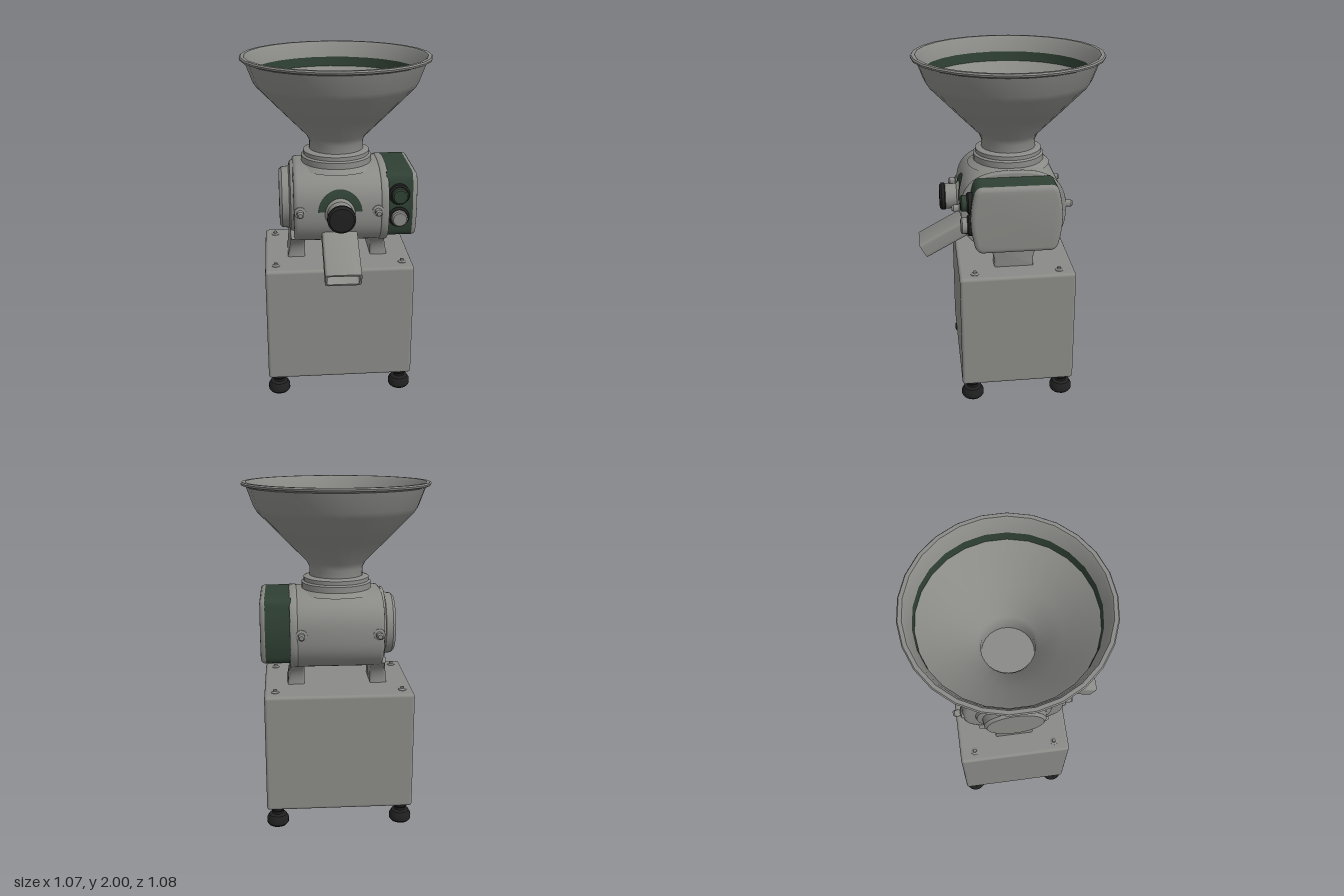
import * as THREE from 'three';
import { toCreasedNormals } from 'three/addons/utils/BufferGeometryUtils.js';
import { RoundedBoxGeometry } from 'three/addons/geometries/RoundedBoxGeometry.js';

const material = (name, color) => {
  const m = new THREE.MeshStandardMaterial({ color });
  m.name = name;
  return m;
};

// Body cross-section: a squarish ellipse in the z/y plane
const BODY = { y: 1.16, rz: 0.295, ry: 0.232, power: 2.6 };
const bodyZ = (y) =>
  BODY.rz * Math.pow(Math.max(0, 1 - Math.pow(Math.abs(y - BODY.y) / BODY.ry, BODY.power)), 1 / BODY.power);

function superEllipse(rz, ry, power, y, steps = 56) {
  const points = [];
  for (let i = 0; i < steps; i++) {
    const a = (i / steps) * Math.PI * 2, c = Math.cos(a), s = Math.sin(a);
    points.push(new THREE.Vector2(
      Math.sign(c) * rz * Math.pow(Math.abs(c), 2 / power),
      y + Math.sign(s) * ry * Math.pow(Math.abs(s), 2 / power)));
  }
  return new THREE.Shape(points);
}

// Rounded rectangle centred on the origin
function roundedRect(w, h, r, Type = THREE.Shape) {
  const s = new Type(), x = w / 2, y = h / 2;
  s.moveTo(-x + r, -y);
  s.lineTo(x - r, -y); s.quadraticCurveTo(x, -y, x, -y + r);
  s.lineTo(x, y - r); s.quadraticCurveTo(x, y, x - r, y);
  s.lineTo(-x + r, y); s.quadraticCurveTo(-x, y, -x, y - r);
  s.lineTo(-x, -y + r); s.quadraticCurveTo(-x, -y, -x + r, -y);
  return s;
}

// Extrudes a z/y shape along x from x0 to x1, with the bevel kept inside
function extrudeX(shape, x0, x1, bevel = 0) {
  const g = new THREE.ExtrudeGeometry(shape, {
    depth: x1 - x0 - 2 * bevel, bevelEnabled: bevel > 0, bevelThickness: bevel,
    bevelSize: bevel, bevelOffset: -bevel, bevelSegments: 3, curveSegments: 8,
  });
  g.translate(0, 0, x0 + bevel).rotateY(Math.PI / 2);
  return toCreasedNormals(g, 0.6);
}

const lathe = (pts, segments = 28) =>
  toCreasedNormals(new THREE.LatheGeometry(pts.map(([r, y]) => new THREE.Vector2(r, y)), segments), 0.6);

export function createModel() {
  const model = new THREE.Group();
  model.name = 'grinder';
  const grey = material('grey metal', 0x8a8a87);
  const green = material('dark green', 0x2f4033);
  const black = material('black rubber', 0x202021);

  const add = (name, geometry, mat, x = 0, y = 0, z = 0) => {
    const mesh = new THREE.Mesh(geometry, mat);
    mesh.name = name;
    mesh.position.set(x, y, z);
    model.add(mesh);
    return mesh;
  };

  // Cabinet, feet and corner bolts
  add('cabinet', new RoundedBoxGeometry(0.865, 0.71, 0.665, 3, 0.018), grey, 0, 0.468, -0.01);
  const foot = lathe([[0, 0], [0.056, 0], [0.065, 0.012], [0.065, 0.04], [0.052, 0.063],
    [0.033, 0.07], [0.033, 0.085], [0.045, 0.1], [0.045, 0.12], [0, 0.12]], 20);
  const stud = lathe([[0.024, 0], [0.024, 0.006], [0.012, 0.012], [0.01, 0.022], [0, 0.024]], 12);
  for (const x of [-0.37, 0.37]) {
    for (const z of [-0.28, 0.26]) {
      add('foot', foot, black, x, 0, z);
      add('cabinetBolt', stud, grey, x, 0.82, z * 0.9);
    }
  }

  // Two pedestals that flare into the body
  const leg = new THREE.Shape();
  leg.moveTo(-0.115, 0.815);
  leg.lineTo(0.115, 0.815);
  leg.quadraticCurveTo(0.095, 0.93, 0.21, 0.975);
  leg.lineTo(0.1, 1.05);
  leg.lineTo(-0.1, 1.05);
  leg.lineTo(-0.21, 0.975);
  leg.quadraticCurveTo(-0.095, 0.93, -0.115, 0.815);
  for (const side of [-1, 1]) {
    const g = extrudeX(leg, -0.042, 0.042, 0.012);
    const p = g.attributes.position;
    for (let i = 0; i < p.count; i++) {
      // Widen towards the foot on the outer side
      const t = Math.max(0, 0.92 - p.getY(i)) / 0.1;
      if (p.getX(i) * side > 0) p.setX(i, p.getX(i) + side * t * 0.018);
    }
    add('pedestal', g, grey, side * 0.237);
  }

  // Body with end flanges and a round left cover
  const section = (grow) => superEllipse(BODY.rz + grow, BODY.ry + grow, BODY.power, BODY.y);
  add('body', extrudeX(section(0), -0.26, 0.275, 0.025), grey);
  add('bodyFlange', extrudeX(section(0.004), 0.235, 0.28, 0.008), grey);
  const cover = lathe([[0.225, 0], [0.215, 0.02], [0.185, 0.028], [0.18, 0.068], [0.165, 0.084], [0, 0.086]], 36);
  add('leftCover', cover.rotateZ(Math.PI / 2), grey, -0.255, 1.165, 0);

  // Side bolts on front and back of the body
  const bolt = lathe([[0.034, -0.02], [0.034, 0.008], [0.02, 0.014], [0.02, 0.045], [0.012, 0.056], [0, 0.056]], 12);
  for (const x of [-0.225, 0.215]) {
    for (const side of [-1, 1]) {
      add('bodyBolt', bolt, grey, x, 1.17, side * 0.292).rotation.x = side * Math.PI / 2;
    }
  }

  // Control housing: green band with a grey end cap, sides slightly bowed
  const housing = new THREE.Shape();
  housing.moveTo(-0.19, 0.982);
  housing.lineTo(0.19, 0.982);
  housing.quadraticCurveTo(0.225, 0.985, 0.235, 1.03);
  housing.quadraticCurveTo(0.272, 1.175, 0.235, 1.32);
  housing.quadraticCurveTo(0.225, 1.365, 0.19, 1.368);
  housing.lineTo(-0.19, 1.368);
  housing.quadraticCurveTo(-0.225, 1.365, -0.235, 1.32);
  housing.quadraticCurveTo(-0.272, 1.175, -0.235, 1.03);
  housing.quadraticCurveTo(-0.225, 0.985, -0.19, 0.982);
  add('housingBand', extrudeX(housing, 0.27, 0.42), green);
  add('housingCap', extrudeX(housing, 0.395, 0.448, 0.024), grey);

  // Control knobs on the housing front
  const collar = lathe([[0.06, -0.03], [0.06, 0.012], [0.05, 0.02], [0, 0.02]], 20);
  const dial = lathe([[0.046, 0], [0.046, 0.042], [0.038, 0.05], [0, 0.05]], 16);
  [[1.25, green], [1.115, grey]].forEach(([y, mat]) => {
    add('knobCollar', collar, black, 0.34, y, 0.25).rotation.x = Math.PI / 2;
    add('knobDial', dial, mat, 0.34, y, 0.255).rotation.x = Math.PI / 2;
  });

  // Adjusting knob with a green half-ring scale wrapped on the body
  const turn = (g) => g.rotateX(Math.PI / 2);
  add('adjusterStem', turn(lathe([[0.095, 0], [0.085, 0.03], [0.074, 0.04], [0.074, 0.115]])), grey, 0, 1.16, 0.27);
  add('adjusterKnob', turn(lathe([[0.076, 0], [0.08, 0.005], [0.08, 0.022], [0.068, 0.034], [0, 0.036]])),
    black, 0, 1.16, 0.375);
  const scale = new THREE.RingGeometry(0.075, 0.125, 32, 4, 0, Math.PI);
  const sp = scale.attributes.position;
  for (let i = 0; i < sp.count; i++) {
    const y = sp.getY(i) + 1.17;
    sp.setXYZ(i, sp.getX(i), y, bodyZ(y) + 0.005);
  }
  scale.computeVertexNormals();
  add('adjusterScale', scale, green);

  // Discharge spout: hollow chute sloping forward and down
  const chute = roundedRect(0.205, 0.098, 0.022);
  chute.holes.push(roundedRect(0.18, 0.072, 0.016, THREE.Path));
  const spout = new THREE.Group();
  spout.name = 'spout';
  const chuteMesh = new THREE.Mesh(toCreasedNormals(new THREE.ExtrudeGeometry(chute,
    { depth: 0.36, bevelEnabled: false, curveSegments: 5 }), 0.6), grey);
  chuteMesh.name = 'chute';
  const back = new THREE.Mesh(new THREE.ShapeGeometry(roundedRect(0.19, 0.08, 0.016)), green);
  back.name = 'chuteInside';
  back.position.z = 0.28;
  spout.add(chuteMesh, back);
  spout.position.set(0, 1.023, 0.203);
  spout.rotation.x = 0.5;
  model.add(spout);

  // Collar between body and hopper
  add('hopperCollar', lathe([[0.24, 1.365], [0.205, 1.39], [0.205, 1.425], [0.192, 1.433],
    [0.192, 1.455], [0.165, 1.465], [0.15, 1.465]], 32), grey);

  // Hopper: outer shell with rolled rim, green inner band, inner cone
  add('hopperShell', lathe([[0.158, 1.44], [0.156, 1.51], [0.172, 1.545], [0.3, 1.675], [0.455, 1.835],
    [0.473, 1.865], [0.512, 1.972], [0.538, 1.982], [0.541, 1.992], [0.535, 2], [0.515, 2],
    [0.503, 1.985], [0.475, 1.91]], 26), grey);
  add('hopperBand', lathe([[0.475, 1.91], [0.468, 1.855]], 26), green);
  add('hopperInside', lathe([[0.468, 1.855], [0.445, 1.835], [0.29, 1.68], [0.165, 1.55],
    [0.148, 1.515], [0.146, 1.45], [0, 1.45]], 26), grey);

  return model;
}
